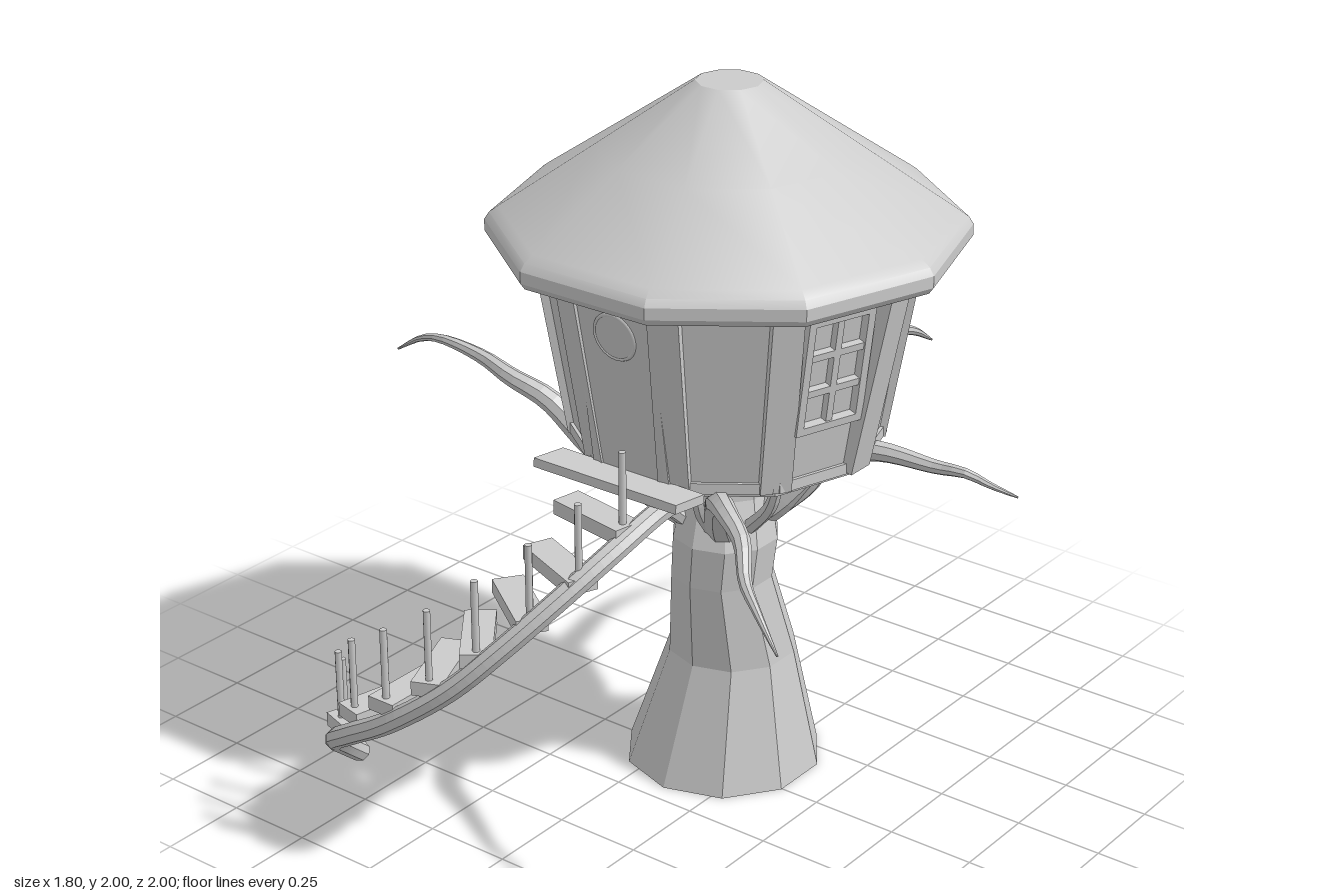
import * as THREE from 'three';
import { toCreasedNormals } from 'three/addons/utils/BufferGeometryUtils.js';

const CX = 0.137, CZ = -0.06;           // axis of the house
const flat = new THREE.MeshStandardMaterial({ color: 0xcccccc, flatShading: true, side: THREE.DoubleSide });
const smooth = new THREE.MeshStandardMaterial({ color: 0xcccccc, side: THREE.DoubleSide });

function add(parent, name, geo, pos = [0, 0, 0], mat = flat) {
  const m = new THREE.Mesh(geo, mat);
  m.name = name;
  m.position.set(...pos);
  parent.add(m);
  return m;
}
const box = (w, h, d) => new THREE.BoxGeometry(w, h, d);

// Tube along points whose radius follows radiusAt(t)
function taperedTube(points, radiusAt, segs = 24, sides = 8) {
  const curve = new THREE.CatmullRomCurve3(points.map(p => new THREE.Vector3(...p)));
  const geo = new THREE.TubeGeometry(curve, segs, 1, sides);
  const pos = geo.attributes.position, v = new THREE.Vector3();
  for (let i = 0; i < pos.count; i++) {
    const t = Math.floor(i / (sides + 1)) / segs;
    const c = curve.getPointAt(t);
    v.fromBufferAttribute(pos, i).sub(c).multiplyScalar(radiusAt(t)).add(c);
    pos.setXYZ(i, v.x, v.y, v.z);
  }
  geo.computeVertexNormals();
  return geo;
}

// Faceted trunk lofted from rings of [y, x, z, radius]
function trunkGeometry() {
  const rings = [[0, 0.117, -0.083, 0.28], [0.35, 0.14, -0.088, 0.182], [0.6, 0.142, -0.035, 0.145],
    [0.72, 0.15, -0.04, 0.15], [0.85, 0.14, -0.06, 0.125], [1.02, 0.14, -0.06, 0.12]];
  const geo = new THREE.CylinderGeometry(1, 1, 1, 10, rings.length - 1);
  const pos = geo.attributes.position;
  for (let i = 0; i < pos.count; i++) {
    const k = Math.round((pos.getY(i) + 0.5) * (rings.length - 1));
    const [y, x, z, r] = rings[k];
    pos.setXYZ(i, x + pos.getX(i) * r, y, z + pos.getZ(i) * r);
  }
  return geo;
}

// Six-pane window, facing +z
function makeWindow() {
  const g = new THREE.Group();
  g.name = 'window';
  for (const s of [-1, 1]) {
    add(g, 'windowSideFrame', box(0.022, 0.34, 0.035), [s * 0.094, 0, 0]);
    add(g, 'windowEndFrame', box(0.21, 0.022, 0.035), [0, s * 0.16, 0]);
    add(g, 'windowCrossBar', box(0.18, 0.02, 0.025), [0, s * 0.053, 0]);
  }
  add(g, 'windowMiddleBar', box(0.02, 0.32, 0.025));
  return g;
}

// Door with a round porthole, facing +z
function makeDoor() {
  const g = new THREE.Group();
  g.name = 'door';
  add(g, 'doorPanel', box(0.25, 0.51, 0.015));
  add(g, 'portholeRing', new THREE.TorusGeometry(0.064, 0.006, 6, 28), [0, 0.155, 0.006], smooth);
  const glass = add(g, 'portholeGlass', new THREE.CylinderGeometry(0.062, 0.062, 0.008, 28), [0, 0.155, 0.006], smooth);
  glass.rotation.x = Math.PI / 2;
  return g;
}

function makeHouse() {
  const house = new THREE.Group();
  house.name = 'house';
  house.position.set(CX, 0, CZ);
  const start = Math.PI / 10;

  // Ten-sided flared walls and floor
  add(house, 'walls', new THREE.CylinderGeometry(0.513, 0.422, 0.56, 10, 1, true, start), [0, 1.3, 0]);
  add(house, 'floor', new THREE.CylinderGeometry(0.425, 0.42, 0.03, 10, 1, false, start), [0, 1.017, 0]);

  // Roof with a rounded eave
  const profile = [[0, 1.575], [0.59, 1.56], [0.63, 1.562], [0.643, 1.58], [0.643, 1.612], [0.63, 1.632], [0.605, 1.65],
    [0.35, 1.823], [0.09, 2], [0, 2]].map(p => new THREE.Vector2(...p));
  add(house, 'roof', toCreasedNormals(new THREE.LatheGeometry(profile, 10, start), 0.5), [0, 0, 0], smooth);

  // Leaning corner posts and foot trim
  for (let i = 0; i < 10; i++) {
    const spoke = new THREE.Group();
    spoke.name = 'wallCorner';
    spoke.rotation.y = start + i * Math.PI / 5;
    house.add(spoke);
    const onAxis = i % 5 === 2;
    const post = add(spoke, 'cornerPost', box(0.085, 0.56, 0.05), [0, 1.295, onAxis ? 0.472 : 0.45]);
    post.rotation.x = onAxis ? 0.21 : 0.17;
    const side = new THREE.Group();
    side.name = 'wallFoot';
    side.rotation.y = i * Math.PI / 5;
    house.add(side);
    add(side, 'footTrim', box(0.25, 0.03, 0.025), [0, 1.03, 0.402]);
  }

  // Door at the front, a window on every second wall after it
  for (let i = 0; i < 5; i++) {
    const side = new THREE.Group();
    side.name = i ? 'windowWall' : 'doorWall';
    side.rotation.y = i * Math.PI * 0.4;
    house.add(side);
    const item = i ? makeWindow() : makeDoor();
    item.position.set(0, i ? 1.355 : 1.29, i ? 0.462 : 0.45);
    item.rotation.x = 0.155;
    side.add(item);
  }
  return house;
}

function makeStairs() {
  const stairs = new THREE.Group();
  stairs.name = 'spiralStairs';
  // Curved beam carrying the treads
  const path = [[-0.65, 0.02, 0.59], [-0.61, 0.12, 0.71], [-0.5, 0.24, 0.85], [-0.35, 0.35, 0.935], [-0.18, 0.46, 0.965],
    [0, 0.6, 0.93], [0.12, 0.73, 0.86], [0.22, 0.86, 0.74], [0.275, 0.95, 0.6], [0.29, 1.0, 0.44], [0.27, 0.99, 0.28]];
  add(stairs, 'stairBeam', taperedTube(path, t => (t === 0 || t === 1 ? 0.001 : 0.03), 60));

  // Treads: railing post x, z and the turn of the tread
  const treads = [[-0.565, 0.745, 18], [-0.475, 0.85, 18], [-0.365, 0.91, 13], [-0.21, 0.95, 0], [-0.065, 0.94, -23],
    [0.05, 0.885, -38], [0.155, 0.795, -55], [0.235, 0.695, -68], [0.262, 0.55, -80]];
  treads.forEach(([x, z, turn], i) => {
    const step = new THREE.Group();
    step.name = 'stairStep';
    step.position.set(x, 0.2 + i * 0.098, z);
    step.rotation.y = -turn * Math.PI / 180;
    stairs.add(step);
    add(step, 'tread', box(0.085, 0.04, 0.245), [0, 0, -0.1]);
    add(step, 'railingPost', new THREE.CylinderGeometry(0.01, 0.01, 0.22, 8), [0, 0.11, 0], smooth);
  });
  // Landing in front of the door
  const landing = add(stairs, 'landing', box(0.47, 0.025, 0.12), [0.135, 1.035, 0.41]);
  landing.rotation.x = -0.12;
  return stairs;
}

export function createModel() {
  const model = new THREE.Group();
  model.name = 'treeHouse';
  add(model, 'trunk', trunkGeometry());

  // Long bare branches
  const branches = [
    [[0.1, 0.74, -0.02], [-0.05, 0.82, 0.04], [-0.2, 0.93, 0.1], [-0.33, 1.04, 0.13], [-0.45, 1.08, 0.145],
      [-0.58, 1.1, 0.12], [-0.73, 1.115, 0.12], [-0.82, 1.09, 0.11], [-0.9, 1.04, 0.118]],
    [[0.15, 0.72, -0.12], [0.16, 0.84, -0.25], [0.17, 0.95, -0.4], [0.175, 1.0, -0.55], [0.18, 1.04, -0.67],
      [0.21, 1.08, -0.78], [0.205, 1.05, -0.87], [0.185, 0.975, -1.0]],
    [[0.18, 0.74, -0.06], [0.28, 0.83, -0.11], [0.4, 0.96, -0.17], [0.52, 1.005, -0.2], [0.7, 0.995, -0.235],
      [0.79, 1.0, -0.24], [0.84, 0.965, -0.28], [0.9, 0.93, -0.325]],
    [[0.18, 0.74, 0.0], [0.25, 0.85, 0.12], [0.36, 0.98, 0.27], [0.46, 1.015, 0.37], [0.55, 0.99, 0.43],
      [0.62, 0.93, 0.51], [0.7, 0.9, 0.57], [0.8, 0.83, 0.62]],
  ];
  for (const b of branches) add(model, 'branch', taperedTube(b, t => 0.05 * Math.pow(1 - t, 0.85) + 0.003, 28));

  // Thin curved braces from the trunk up to the floor
  for (let i = 0; i < 8; i++) {
    const a = 0.35 + i * Math.PI / 4;
    const at = (r, y) => [CX + Math.sin(a) * r, y, CZ + Math.cos(a) * r];
    add(model, 'floorBrace', taperedTube([at(0.09, 0.74), at(0.16, 0.8), at(0.25, 0.89), at(0.3, 1.02)],
      t => 0.024 - 0.01 * t, 12, 6));
  }

  model.add(makeHouse(), makeStairs());
  return model;
}
